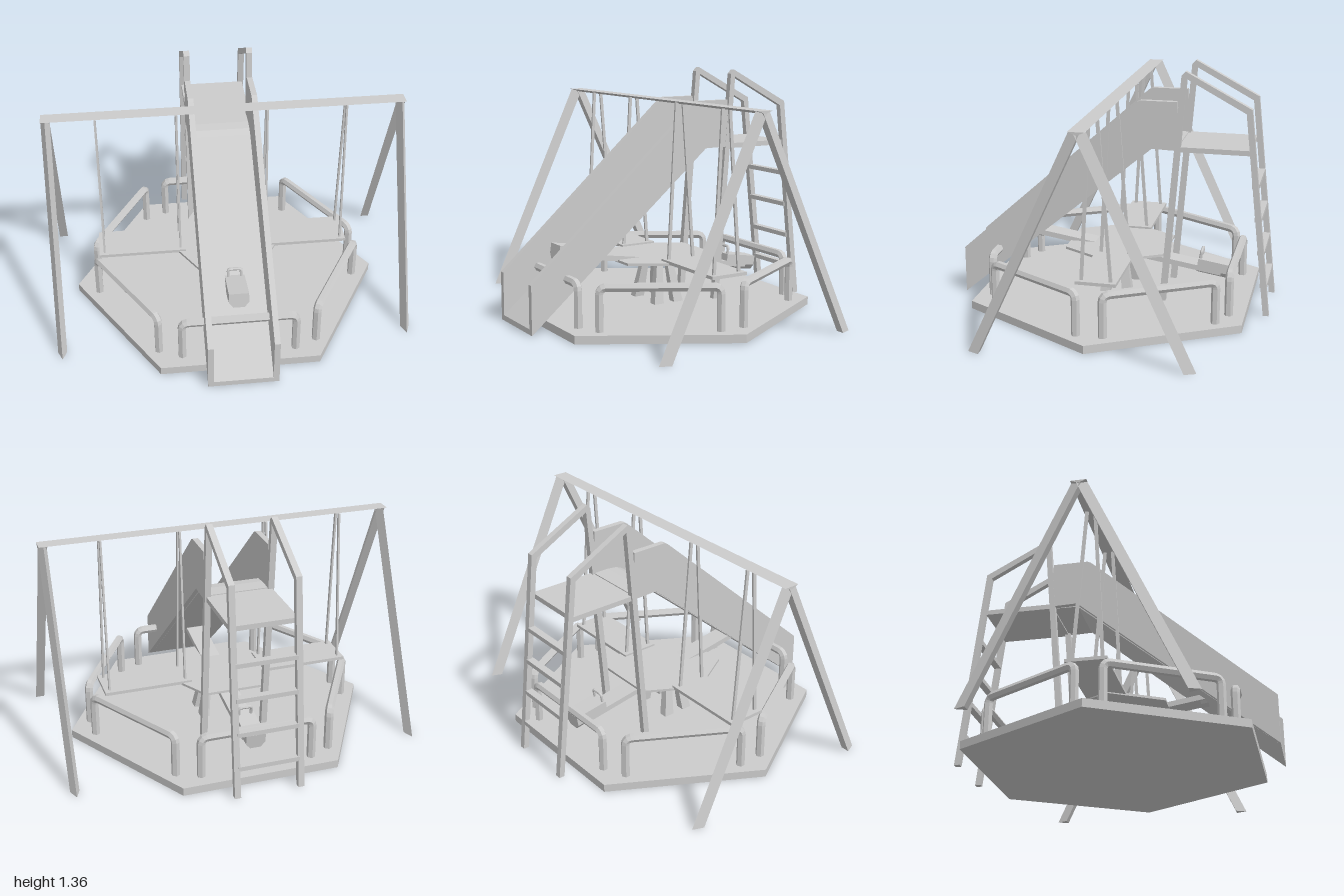
import * as THREE from 'three';

const material = new THREE.MeshStandardMaterial({ color: 0xcccccc, flatShading: true, side: THREE.DoubleSide });

export function createModel() {
  const model = new THREE.Group();
  model.name = 'playground';

  const add = (parent, name, geometry, x = 0, y = 0, z = 0) => {
    const mesh = new THREE.Mesh(geometry, material);
    mesh.name = name;
    mesh.position.set(x, y, z);
    parent.add(mesh);
    return mesh;
  };
  const group = (name, parent = model) => {
    const g = new THREE.Group();
    g.name = name;
    parent.add(g);
    return g;
  };
  const box = (w, h, d) => new THREE.BoxGeometry(w, h, d);

  // Outline of [z, y] points given a thickness along x, centred on x = 0
  const sideProfile = (points, width, hole) => {
    const shape = new THREE.Shape(points.map(p => new THREE.Vector2(...p)));
    if (hole) shape.holes.push(new THREE.Path(hole.map(p => new THREE.Vector2(...p))));
    return new THREE.ExtrudeGeometry(shape, { depth: width, bevelEnabled: false })
      .rotateY(-Math.PI / 2).translate(width / 2, 0, 0);
  };

  // Leans a unit-high geometry so that its axis runs from a to b
  const lean = (geometry, a, b, taper = 1) => {
    const p = geometry.attributes.position;
    for (let i = 0; i < p.count; i++) {
      const t = p.getY(i) + 0.5;
      const s = 1 + (taper - 1) * t;
      p.setXYZ(i,
        p.getX(i) * s + a[0] + (b[0] - a[0]) * t,
        a[1] + (b[1] - a[1]) * t,
        p.getZ(i) * s + a[2] + (b[2] - a[2]) * t);
    }
    geometry.computeVertexNormals();
    return geometry;
  };

  // Tube bent into an upside-down U
  const hoop = (half, height, bend, radius, sides) => {
    const v = (x, y) => new THREE.Vector3(x, y, 0);
    const path = new THREE.CurvePath();
    path.add(new THREE.LineCurve3(v(-half, 0), v(-half, height - bend)));
    path.add(new THREE.QuadraticBezierCurve3(v(-half, height - bend), v(-half, height), v(-half + bend, height)));
    path.add(new THREE.LineCurve3(v(-half + bend, height), v(half - bend, height)));
    path.add(new THREE.QuadraticBezierCurve3(v(half - bend, height), v(half, height), v(half, height - bend)));
    path.add(new THREE.LineCurve3(v(half, height - bend), v(half, 0)));
    return new THREE.TubeGeometry(path, 64, radius, sides, false);
  };

  // Hexagonal base with a guard rail along each side
  add(model, 'base', new THREE.CylinderGeometry(0.88, 0.88, 0.045, 6).rotateY(Math.PI / 6), 0, 0.0225, 0);
  const rails = group('guardRails');
  for (let i = 0; i < 6; i++) {
    const a = i * Math.PI / 3;
    const r = i % 3 ? 0.69 : 0.675;
    add(rails, 'guardRail', hoop(0.315, 0.237, 0.04, 0.024, 6), r * Math.sin(a), 0.043, r * Math.cos(a)).rotation.y = a;
  }

  // Swing frame: top beam and splayed three-sided legs
  const swings = group('swingSet');
  swings.position.z = -0.008;
  add(swings, 'topBeam', sideProfile([[0.043, 1.2], [-0.043, 1.2], [0, 1.183]], 2));
  for (const x of [-0.975, 0.975]) {
    for (const s of [-1, 1]) {
      const section = new THREE.CylinderGeometry(1, 1, 1, 3).scale(0.0288, 1, 0.04 * s);
      if (s < 0) section.index.array.reverse();
      add(swings, 'frameLeg', lean(section, [x, 0, 0.555 * s], [x, 1.2, 0.002 * s]));
    }
  }

  // Two swings, each hanging from four bars
  for (const x of [-0.49, 0.45]) {
    const swing = group('swing', swings);
    add(swing, 'swingSeat', box(0.5, 0.018, 0.22), x, 0.314, -0.012);
    for (const dx of [-0.22, 0.22])
      for (const s of [-1, 1])
        add(swing, 'swingBar', lean(box(0.011, 1, 0.018),
          [x + dx, 0.31, 0.08 * s - 0.01], [x + dx, 1.19, 0.022 * s]));
  }

  // Slide: two side walls, chute bed and landing
  const slide = group('slide');
  const wall = [[0.885, 0], [0.885, 0.27], [-0.13, 1.18], [-0.15, 1.19], [-0.35, 1.19], [-0.37, 0.92], [-0.21, 0.925]];
  for (const x of [-0.178, 0.178]) add(slide, 'slideWall', sideProfile(wall, 0.032), x);
  add(slide, 'slideBed', sideProfile([
    [0.885, 0.0], [0.885, 0.03], [-0.13, 0.888], [-0.17, 0.92], [-0.21, 0.938], [-0.27, 0.945],
    [-0.36, 0.945], [-0.36, 0.92], [-0.21, 0.918]], 0.33));
  add(slide, 'landing', box(0.37, 0.028, 0.4), 0, 0.926, -0.55);

  // Ladder tower: frame on each side with four rungs
  const ladder = group('ladder');
  const frame = [[-0.265, 0.045], [-0.373, 1.335], [-0.395, 1.358], [-0.755, 1.167],
    [-0.882, 0.005], [-0.85, 0.005], [-0.725, 1.143], [-0.402, 1.318], [-0.3, 0.045]];
  for (const x of [-0.178, 0.178]) add(ladder, 'ladderFrame', sideProfile(frame, 0.034), x);
  for (let i = 0; i < 4; i++) {
    const y = 0.17 + i * 0.19;
    add(ladder, 'rung', box(0.34, 0.025, 0.04), 0, y, -0.863 + y * 0.108);
  }

  // Centre table on stubby splayed legs
  const table = group('table');
  add(table, 'tableTop', new THREE.CylinderGeometry(0.33, 0.33, 0.014, 6).rotateY(Math.PI / 6), 0, 0.305, 0);
  for (const x of [-1, 1])
    for (const z of [-1, 1])
      add(table, 'tableLeg', lean(box(0.05, 1, 0.06), [0.11 * x, 0.04, 0.065 * z], [0.07 * x, 0.3, 0.03 * z], 0.6));

  // Seesaw tilted towards the back, a handled seat at each end
  const seesaw = group('seesaw');
  seesaw.position.y = 0.275;
  seesaw.rotation.x = -0.155;
  add(seesaw, 'plank', box(0.11, 0.03, 1.2));
  for (const s of [-1, 1]) {
    const seat = group('seesawSeat', seesaw);
    seat.position.z = 0.56 * s;
    if (s < 0) seat.rotation.y = Math.PI;
    const shape = new THREE.Shape([[-0.03, -0.03], [0.03, -0.03], [0.055, 0], [0.055, 0.055],
      [-0.055, 0.055]].concat([[-0.055, 0]]).map(p => new THREE.Vector2(...p)));
    add(seat, 'seatBlock', new THREE.ExtrudeGeometry(shape, { depth: 0.2, bevelEnabled: false }), 0, 0, -0.1);
    add(seat, 'handle', hoop(0.036, 0.05, 0.015, 0.009, 6), 0, 0.05, -0.09);
  }

  return model;
}
